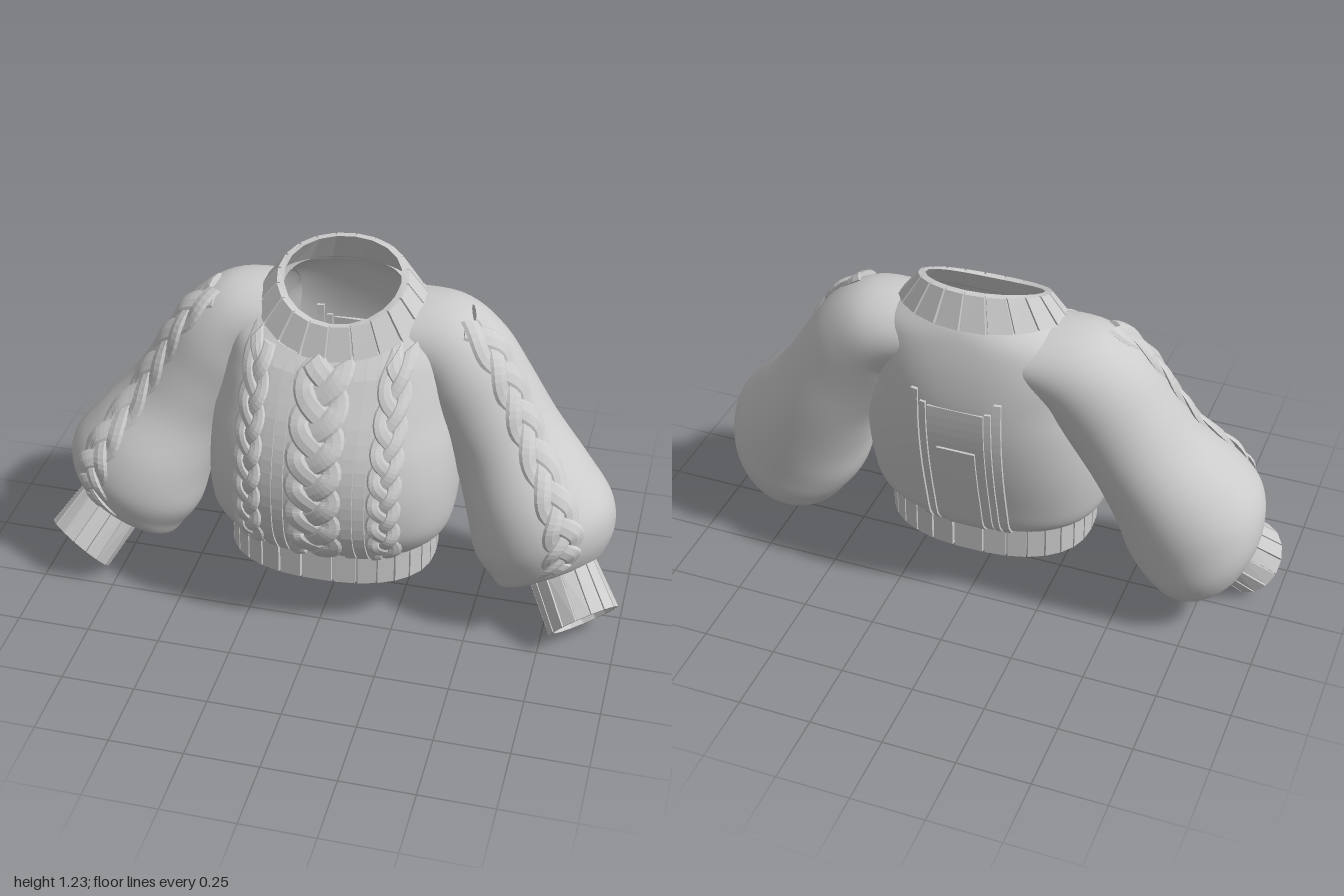
import * as THREE from 'three';
import { mergeVertices } from 'three/addons/utils/BufferGeometryUtils.js';

// torso sections: halfWidth, frontY, frontZ, backY, backZ, side lift, squareness
const TORSO = [
  [0.345, 0.29, 0.265, 0.29, -0.225, 0, 2.4],
  [0.395, 0.34, 0.3, 0.34, -0.262, 0, 2.4],
  [0.415, 0.42, 0.335, 0.43, -0.285, 0, 2.5],
  [0.42, 0.55, 0.346, 0.57, -0.318, 0, 2.5],
  [0.41, 0.68, 0.328, 0.72, -0.343, 0, 2.4],
  [0.385, 0.79, 0.282, 0.85, -0.348, 0, 2.4],
  [0.37, 0.88, 0.222, 0.96, -0.335, 0.01, 2.5],
  [0.345, 0.945, 0.175, 1.05, -0.312, 0.03, 2.4],
  [0.275, 0.985, 0.135, 1.11, -0.287, 0.04, 2],
  [0.2, 1.02, 0.095, 1.14, -0.255, 0.04, 2],
];
// sleeve sections: x, y, z, radius in plane, radius in depth, slope in degrees, forward tilt
const SLEEVE = [
  [0.2, 0.995, -0.125, 0.11, 0.172, 6, 0],
  [0.32, 0.96, -0.115, 0.158, 0.185, 26, 0],
  [0.4, 0.885, -0.1, 0.182, 0.195, 46, 0],
  [0.475, 0.775, -0.088, 0.183, 0.2, 58, 0],
  [0.56, 0.64, -0.068, 0.187, 0.215, 62, 0.05],
  [0.65, 0.49, -0.022, 0.222, 0.245, 62, 0.1],
  [0.71, 0.37, 0.002, 0.25, 0.25, 62, 0.15],
  [0.748, 0.27, 0.008, 0.226, 0.235, 62, 0.25],
  [0.758, 0.197, 0.03, 0.178, 0.19, 62, 0.4],
  [0.79, 0.23, 0.07, 0.108, 0.108, 61, 0.55],
];
const HEM = [[0.355, 0.19, 0.275, 0.19, -0.235, 0, 2.4], [0.355, 0.31, 0.275, 0.31, -0.235, 0, 2.4]];
const COLLAR = [[0.284, 0.975, 0.15, 1.12, -0.298, 0.04, 2], [0.217, 1.08, 0.107, 1.23, -0.255, 0.015, 2]];
const CUFF = [[0.79, 0.24, 0.068, 0.118, 0.118, 60, 0.5], [0.89, 0.1, 0.165, 0.126, 0.126, 50, 0.7]];

const V = (x, y, z) => new THREE.Vector3(x, y, z);
const lerp = THREE.MathUtils.lerp;

// smooth interpolation of a section table, t in 0..1
function sample(rows, t) {
  const f = Math.min(Math.max(t, 0), 1) * (rows.length - 1);
  const i = Math.min(Math.floor(f), rows.length - 2), k = f - i;
  const at = (n) => rows[Math.min(Math.max(n, 0), rows.length - 1)];
  return rows[i].map((p1, c) => {
    const p0 = at(i - 1)[c], p2 = at(i + 1)[c], p3 = at(i + 2)[c];
    return p1 + 0.5 * k * (p2 - p0 + k * (2 * p0 - 5 * p1 + 4 * p2 - p3 + k * (3 * (p1 - p2) + p3 - p0)));
  });
}

function torsoAt([hx, yF, zF, yB, zB, lift], c, s, off) {
  return V((hx + off) * c, lerp(yB, yF, (1 + s) / 2) + lift * c * c, (zF + zB) / 2 + ((zF - zB) / 2 + off) * s);
}
function torsoPoint(row, a, off = 0) {
  const bend = (v) => Math.sign(v) * Math.abs(v) ** (2 / row[6]);
  return torsoAt(row, bend(Math.cos(a)), bend(Math.sin(a)), off);
}
const sleevePoint = (side) => ([x, y, z, r, rz, deg, tilt], a, off = 0) => {
  const g = deg * Math.PI / 180;
  const dir = V(Math.cos(g), -Math.sin(g), tilt).normalize();
  const u = V(Math.sin(g), Math.cos(g), 0), v = dir.clone().cross(u);
  const p = V(x, y, z).addScaledVector(u, (r + off) * Math.cos(a)).addScaledVector(v, (rz + off) * Math.sin(a));
  p.x *= side;
  return p;
};

// surface through rows of points
function grid(rows, flip, flat) {
  const m = rows[0].length, index = [];
  for (let i = 0; i < rows.length - 1; i++) for (let j = 0; j < m - 1; j++) {
    const a = i * m + j, b = a + 1, c = a + m, d = c + 1;
    index.push(...(flip ? [a, b, c, b, d, c] : [a, c, b, b, c, d]));
  }
  let g = new THREE.BufferGeometry().setFromPoints(rows.flat());
  g.setIndex(index);
  g = flat ? g.toNonIndexed() : mergeVertices(g, 1e-5);
  g.computeVertexNormals();
  return g;
}

function shell(point, table, flip, n = 48, m = 56) {
  const rows = [];
  for (let i = 0; i <= n; i++) {
    const row = sample(table, i / n);
    rows.push(Array.from({ length: m + 1 }, (_, j) => point(row, ((j % m) / m) * Math.PI * 2)));
  }
  return grid(rows, flip, false);
}

// thick band with raised knit ribs
function ribBand(point, [A, B], ribs, depth, flip) {
  const rows = [];
  for (let k = 0; k <= ribs; k++) for (const [f, o] of [[0, -0.01], [0.05, -0.01], [0.08, 0], [0.98, 0]]) {
    if (k === ribs && f > 0) break;
    const a = ((k + f) / ribs) * Math.PI * 2;
    rows.push([point(A, a, o), point(B, a, o), point(B, a, -depth), point(A, a, -depth), point(A, a, o)]);
  }
  return grid(rows, flip, true);
}

// ribbon lying on a surface; path(s) gives [sideways, height]
function ribbon(map, length, path, section, n, flip) {
  const rows = [];
  for (let i = 0; i <= n; i++) {
    const s = i / n, [x, off] = path(s);
    const dx = (path(s + 0.001)[0] - path(s - 0.001)[0]) / 0.002, len = Math.hypot(length, dx);
    const row = section.map(([q, h]) => map(s - (q * dx) / len / length, x + (q * length) / len, off + h));
    row.push(row[0].clone());
    const end = row.map(() => map(s, x, off));
    if (i === 0) rows.push(end);
    rows.push(row);
    if (i === n) rows.push(end);
  }
  return grid(rows, flip, true);
}
const oval = (w, h) => Array.from({ length: 8 }, (_, i) => [w * Math.cos(i * Math.PI / 4), h * Math.sin(i * Math.PI / 4)]);
const slab = (w, h) => [[w, -h], [w, h], [-w, h], [-w, -h]];

// front or back torso strip between two heights
function torsoMap(x0, y0, y1, sign) {
  const col = sign > 0 ? 1 : 3;
  const tAt = (y) => {
    let a = 0, b = 1;
    for (let i = 0; i < 18; i++) {
      const m = (a + b) / 2;
      if (sample(TORSO, m)[col] < y) a = m; else b = m;
    }
    return a;
  };
  return (s, x, off) => {
    const row = sample(TORSO, tAt(lerp(y0, y1, s)));
    const c = (x0 + x) / row[0], d = (1 - Math.abs(c) ** row[6]) ** (1 / row[6]);
    const p = torsoAt(row, c, sign * d, 0);
    p.z += sign * off;
    return p;
  };
}
const sleeveMap = (side) => (s, x, off) => {
  const row = sample(SLEEVE, lerp(0.14, 0.82, s));
  return sleevePoint(side)(row, lerp(22, 70, s) * Math.PI / 180 + x / row[4], off);
};

export function createModel() {
  const model = new THREE.Group();
  const wool = new THREE.MeshStandardMaterial({ color: 0xcccccc, side: THREE.DoubleSide });
  wool.name = 'lightGreyWool';
  const add = (name, geometry) => {
    const mesh = new THREE.Mesh(geometry, wool);
    mesh.name = name;
    model.add(mesh);
  };
  // three-strand cable
  const cable = (name, map, length, w, half, turns, flip) => {
    for (let k = 0; k < 3; k++) {
      const phase = (s) => s * turns * Math.PI * 2 + (k * Math.PI * 2) / 3;
      const path = (s) => [w * Math.sin(phase(s)), 0.004 + 0.007 * Math.sin(2 * phase(s))];
      add(name + 'Strand', ribbon(map, length, path, oval(half, 0.011), 56, flip));
    }
  };
  const strip = (name, x, y0, y1, half, height, sign) =>
    add(name, ribbon(torsoMap(x, y0, y1, sign), y1 - y0, () => [0, 0], slab(half, height), 16, sign < 0));

  // body and bands
  add('torso', shell(torsoPoint, TORSO, false));
  add('hemBand', ribBand(torsoPoint, HEM, 30, 0.025, true));
  add('collarBand', ribBand(torsoPoint, COLLAR, 20, 0.024, true));

  // front cables, ridges and back ridges
  cable('centreCable', torsoMap(0, 0.3, 0.98, 1), 0.68, 0.062, 0.034, 2.3, false);
  for (const side of [1, -1]) {
    cable('sideCable', torsoMap(side * 0.23, 0.3, 0.97, 1), 0.67, 0.032, 0.022, 2.6, false);
    for (const x of [0.115, 0.155]) strip('frontRidge', side * x, 0.3, 0.98, 0.017, 0.009, 1);
    strip('backRidge', side * 0.14, 0.3, 0.9, 0.012, 0.011, -1);
    strip('backRidge', side * 0.11, 0.3, 0.86, 0.01, 0.009, -1);
  }
  // back panels
  strip('backPanel', 0, 0.3, 0.85, 0.095, 0.007, -1);
  strip('backInnerPanel', 0, 0.3, 0.69, 0.065, 0.013, -1);

  // sleeves
  for (const side of [1, -1]) {
    const name = side > 0 ? 'left' : 'right';
    add(name + 'Sleeve', shell(sleevePoint(side), SLEEVE, side > 0));
    add(name + 'Cuff', ribBand(sleevePoint(side), CUFF, 15, 0.018, side < 0));
    cable(name + 'SleeveCable', sleeveMap(side), 0.85, 0.044, 0.032, 2.6, side < 0);
  }
  return model;
}
